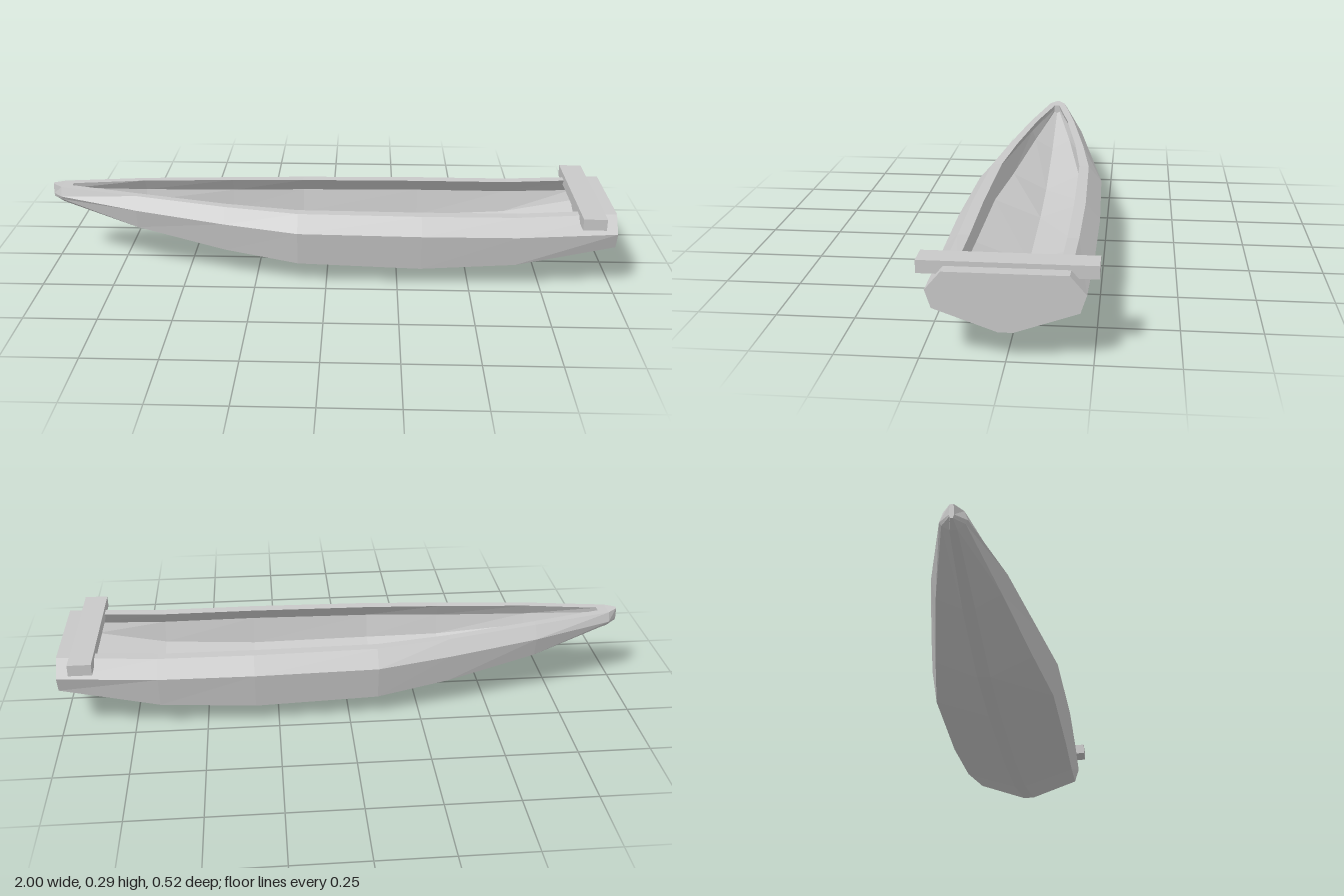
import * as THREE from 'three';

// Hull stations from bow to stern:
// x, keel z, keel y, chine z, chine y, beam z, beam y, gunwale z, gunwale y
const OUTER = [
  [-0.965, 0.012, 0.222, 0.036, 0.24, 0.043, 0.252, 0.032, 0.285],
  [-0.68, 0.02, 0.12, 0.105, 0.163, 0.122, 0.234, 0.09, 0.277],
  [-0.36, 0.022, 0.04, 0.165, 0.107, 0.182, 0.212, 0.145, 0.263],
  [-0.1, 0.022, 0.012, 0.21, 0.079, 0.228, 0.2, 0.18, 0.255],
  [0.33, 0.022, 0.002, 0.22, 0.07, 0.239, 0.2, 0.19, 0.255],
  [0.66, 0.022, 0.025, 0.218, 0.09, 0.236, 0.2, 0.187, 0.255],
  [1, 0.022, 0.093, 0.21, 0.16, 0.228, 0.215, 0.18, 0.271],
];
// Inside: x, rail z, rail y, beam z, beam y, chine z, chine y, floor y
const INNER = [
  [-0.93, 0.01, 0.284, 0.013, 0.265, 0.011, 0.256, 0.25],
  [-0.68, 0.063, 0.277, 0.085, 0.234, 0.072, 0.195, 0.155],
  [-0.36, 0.115, 0.263, 0.145, 0.212, 0.13, 0.14, 0.075],
  [-0.1, 0.145, 0.255, 0.19, 0.2, 0.172, 0.115, 0.048],
  [0.33, 0.152, 0.255, 0.2, 0.2, 0.182, 0.105, 0.038],
  [0.66, 0.15, 0.255, 0.197, 0.2, 0.18, 0.125, 0.06],
  [0.91, 0.147, 0.267, 0.19, 0.211, 0.176, 0.175, 0.112],
];
const BOW_TIP = [-1, 0.004, 0.24, 0.006, 0.246, 0.008, 0.252, 0.006, 0.288];

// Outer section runs from the -z gunwale under the keel to the +z gunwale
function outerRing([x, kz, ky, cz, cy, bz, by, gz, gy]) {
  const half = [[gz, gy], [bz, by], [cz, cy], [kz, ky]];
  return [
    ...half.map(([z, y]) => [x, y, -z]),
    ...half.reverse().map(([z, y]) => [x, y, z]),
  ];
}

// Inner section runs back from the +z rail over the floor to the -z rail
function innerRing([x, rz, ry, bz, by, cz, cy, fy]) {
  const half = [[rz, ry], [bz, by], [cz, cy]];
  return [
    ...half.map(([z, y]) => [x, y, z]),
    [x, fy, 0],
    ...half.reverse().map(([z, y]) => [x, y, -z]),
  ];
}

// Fill a polygon with a fan of triangles
function fan(out, pts) {
  for (let i = 1; i < pts.length - 1; i++) out.push(...pts[0], ...pts[i], ...pts[i + 1]);
}

// Skin closed sections in order along x
function loft(out, rings) {
  for (let i = 0; i < rings.length - 1; i++) {
    const a = rings[i], b = rings[i + 1], n = a.length;
    for (let j = 0; j < n; j++) {
      const k = (j + 1) % n;
      fan(out, [a[j], b[j], b[k], a[k]]);
    }
  }
}

function facetedMesh(name, positions, material) {
  const geo = new THREE.BufferGeometry();
  geo.setAttribute('position', new THREE.Float32BufferAttribute(positions, 3));
  geo.computeVertexNormals();
  const mesh = new THREE.Mesh(geo, material);
  mesh.name = name;
  return mesh;
}

export function createModel() {
  const model = new THREE.Group();
  model.name = 'boat';
  const grey = new THREE.MeshStandardMaterial({ color: 0xc8c8c8 });
  grey.name = 'hull grey';

  const outer = OUTER.map(outerRing);
  const inner = INNER.map(innerRing);
  const last = OUTER.length - 1;

  // Hull shell with outside, rails and inside
  const shell = [];
  loft(shell, outer.map((ring, i) => [...ring, ...inner[i]]));
  model.add(facetedMesh('hull', shell, grey));

  // Bow block, small foredeck and the wall behind it
  const bow = [], tip = outerRing(BOW_TIP);
  loft(bow, [tip, outer[0]]);
  fan(bow, tip);
  fan(bow, [outer[0][0], outer[0][7], inner[0][0], inner[0][6]]);
  fan(bow, inner[0]);
  model.add(facetedMesh('bow', bow, grey));

  // Transom with its top and inside faces
  const stern = [];
  fan(stern, [...outer[last]].reverse());
  fan(stern, [inner[last][6], inner[last][0], outer[last][7], outer[last][0]]);
  fan(stern, [...inner[last]].reverse());
  model.add(facetedMesh('transom', stern, grey));

  // Crossbar over the stern
  const bar = new THREE.Mesh(new THREE.BoxGeometry(0.08, 0.04, 0.522), grey);
  bar.position.set(0.912, 0.264, 0);
  bar.name = 'crossbar';
  model.add(bar);

  return model;
}
